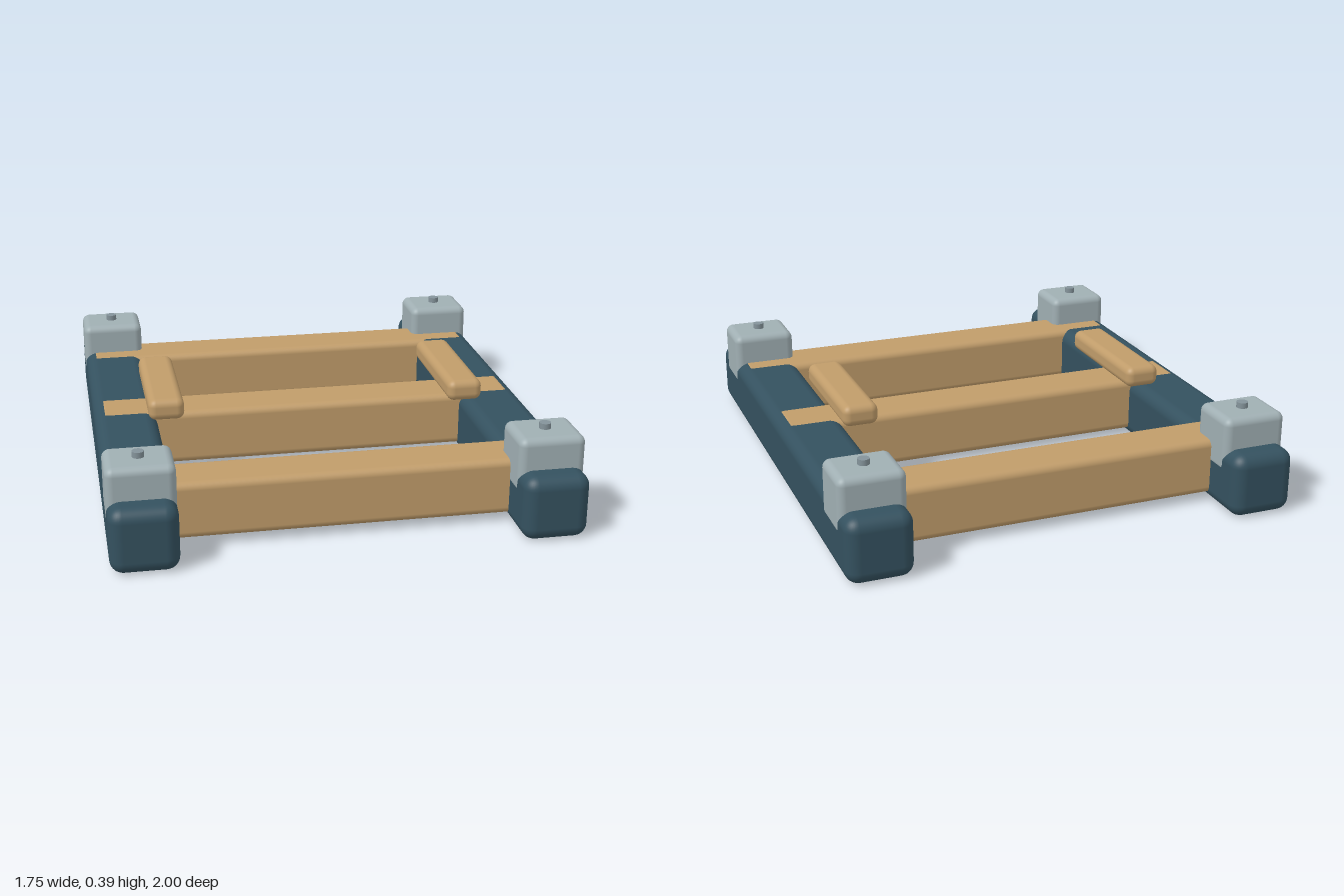
import * as THREE from 'three';
import { RoundedBoxGeometry } from 'three/addons/geometries/RoundedBoxGeometry.js';

export function createModel() {
  const material = (name, color) => {
    const m = new THREE.MeshStandardMaterial({ color });
    m.name = name;
    return m;
  };
  const navy = material('navy paint', 0x34515f);
  const wood = material('tan wood', 0xc09c6a);
  const metal = material('light grey metal', 0xa0afb3);
  const steel = material('bolt steel', 0x84939a);

  const model = new THREE.Group();
  model.name = 'frame';
  const add = (name, geometry, mat, x, y, z) => {
    const mesh = new THREE.Mesh(geometry, mat);
    mesh.name = name;
    mesh.position.set(x, y, z);
    model.add(mesh);
  };

  const railGeo = new RoundedBoxGeometry(0.25, 0.25, 2, 4, 0.05);
  const beamGeo = new RoundedBoxGeometry(1.7, 0.22, 0.21, 4, 0.028);
  const handleGeo = new RoundedBoxGeometry(0.14, 0.085, 0.55, 4, 0.03);
  // a hair wider than the rail, so its cheeks lie on the rail's sides
  const capGeo = new RoundedBoxGeometry(0.252, 0.22, 0.22, 4, 0.03);
  const boltGeo = new THREE.CylinderGeometry(0.022, 0.022, 0.04, 20);

  // cross beams, let into the tops of the rails
  for (const [name, z] of [['frontBeam', 0.7], ['middleBeam', 0], ['backBeam', -0.7]]) {
    add(name, beamGeo, wood, 0, 0.141, z);
  }

  // side rails with raised handles, corner caps and bolts
  for (const [side, sx] of [['left', 1], ['right', -1]]) {
    add(side + 'Rail', railGeo, navy, sx * 0.75, 0.125, 0);
    add(side + 'Handle', handleGeo, wood, sx * 0.6, 0.328, 0);
    for (const [end, sz] of [['Front', 1], ['Back', -1]]) {
      add(side + end + 'Cap', capGeo, metal, sx * 0.75, 0.26, sz * 0.8);
      add(side + end + 'Bolt', boltGeo, steel, sx * 0.75, 0.372, sz * 0.8);
    }
  }
  return model;
}
